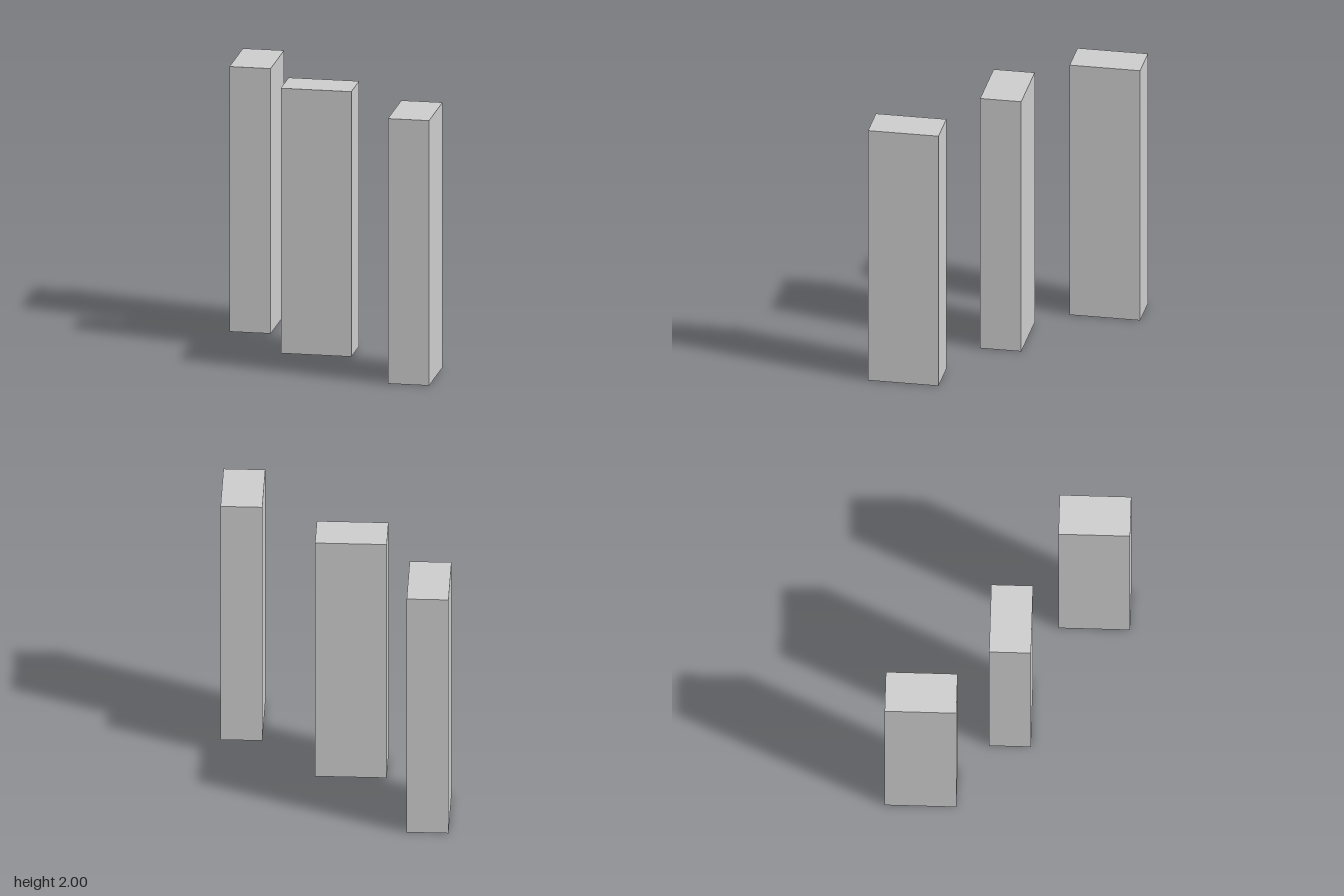
import * as THREE from 'three';

const HEIGHT = 2;
const LONG = 0.523;
const SHORT = 0.305;

export function createModel() {
  const group = new THREE.Group();
  group.name = 'pillars';
  const material = new THREE.MeshStandardMaterial({ color: 0xcccccc, flatShading: true });
  const geometry = new THREE.BoxGeometry(SHORT, HEIGHT, LONG);

  // Three equal pillars on a diagonal, the middle one turned a quarter
  const pillars = [
    { name: 'backRightPillar', x: -0.705, z: -0.613, turn: 0 },
    { name: 'middlePillar', x: -0.114, z: 0.026, turn: Math.PI / 2 },
    { name: 'frontLeftPillar', x: 0.705, z: 0.613, turn: 0 },
  ];
  for (const { name, x, z, turn } of pillars) {
    const pillar = new THREE.Mesh(geometry, material);
    pillar.name = name;
    pillar.position.set(x, HEIGHT / 2, z);
    pillar.rotation.y = turn;
    group.add(pillar);
  }
  return group;
}
